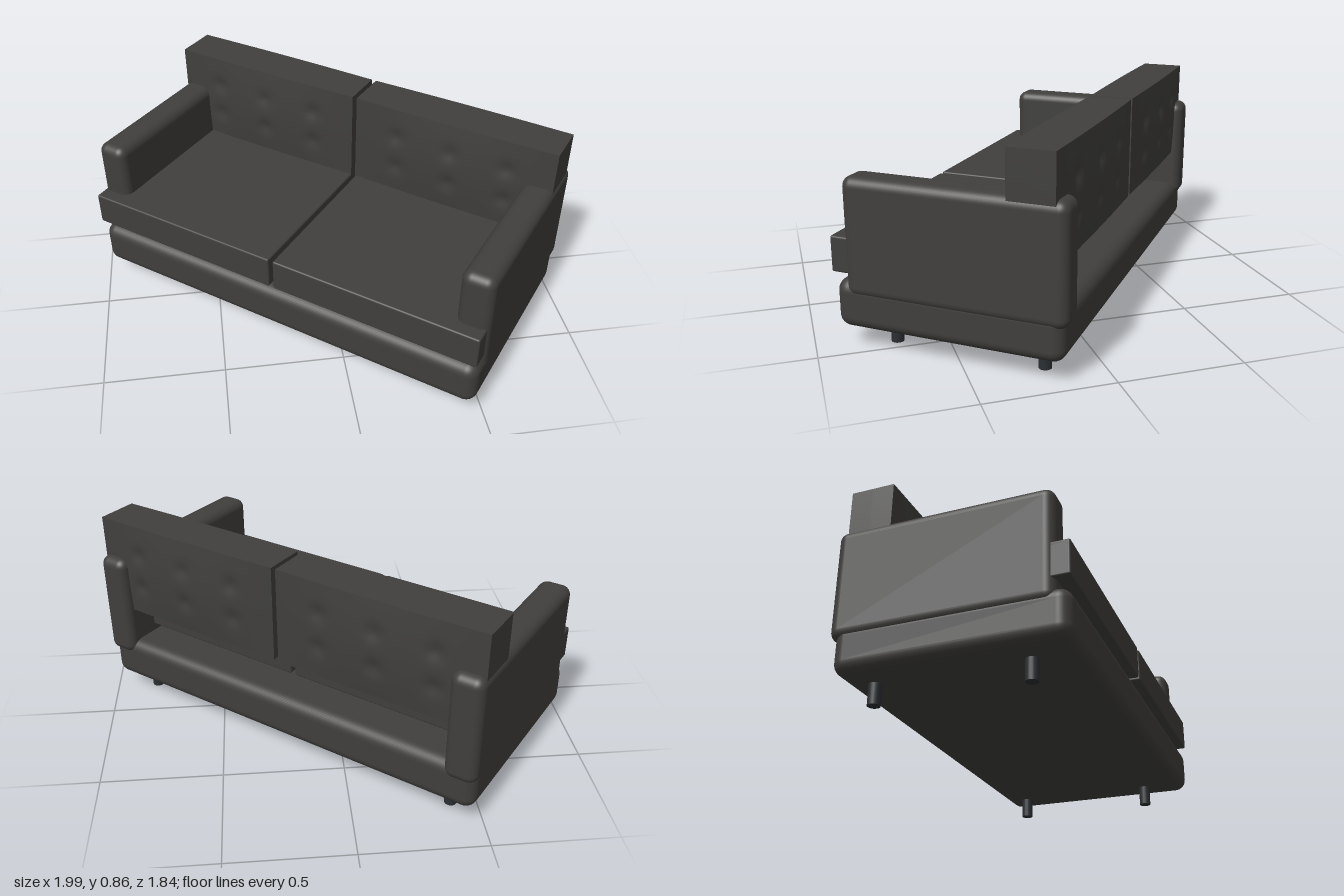
import * as THREE from 'three';
import { RoundedBoxGeometry } from 'three/addons/geometries/RoundedBoxGeometry.js';

const fabric = new THREE.MeshStandardMaterial({ color: 0x403f3d });
const legMaterial = new THREE.MeshStandardMaterial({ color: 0x2b2f33 });

// Rounded block given by its min and max corners
function block(name, [x0, y0, z0], [x1, y1, z1], radius) {
  const geo = new RoundedBoxGeometry(x1 - x0, y1 - y0, z1 - z0, 5, radius);
  const mesh = new THREE.Mesh(geo, fabric);
  mesh.name = name;
  mesh.position.set((x0 + x1) / 2, (y0 + y1) / 2, (z0 + z1) / 2);
  return mesh;
}

// Back cushion: a box whose front and back bulge softly, pinched by button tufts
function tuftedCushion(w, h, d) {
  const geo = new THREE.BoxGeometry(w, h, d, 54, 28, 2);
  const p = geo.attributes.position;
  for (let i = 0; i < p.count; i++) {
    const x = p.getX(i), y = p.getY(i), z = p.getZ(i);
    let puff = 0.02 * Math.cos((x / w) * Math.PI) * Math.cos((y / h) * Math.PI * 0.85);
    for (const tx of [-0.25, 0, 0.25]) {
      for (const ty of [-0.075, 0.075]) {
        const r2 = (x - tx) ** 2 + (y - ty) ** 2;
        puff -= 0.012 * Math.exp(-r2 / 0.0012);
      }
    }
    p.setZ(i, z + Math.sign(z) * puff);
  }
  geo.computeVertexNormals();
  return geo;
}

export function createModel() {
  const model = new THREE.Group();
  model.name = 'sofa';

  // The sofa is built square to its own axes, then turned
  const sofa = new THREE.Group();
  sofa.name = 'sofaBody';
  sofa.rotation.y = -0.667;
  model.add(sofa);

  sofa.add(block('base', [-0.91, 0.085, -0.453], [0.91, 0.28, 0.455], 0.05));

  const backGeo = tuftedCushion(0.9, 0.415, 0.18);
  const legGeo = new THREE.CylinderGeometry(0.025, 0.025, 0.1, 20);

  for (const side of [-1, 1]) {
    const label = side > 0 ? 'left' : 'right';
    const span = (a, b) => (side > 0 ? [a, b] : [-b, -a]);

    // Armrest, just proud of the base
    const [a0, a1] = span(0.782, 0.917);
    sofa.add(block(label + 'Arm', [a0, 0.22, -0.47], [a1, 0.685, 0.403], 0.04));

    // Seat cushion, floating slightly above the base
    const [s0, s1] = span(0.01, 0.908);
    sofa.add(block(label + 'Seat', [s0, 0.31, -0.313], [s1, 0.452, 0.46], 0.008));

    // Back cushion
    const back = new THREE.Mesh(backGeo, fabric);
    back.name = label + 'BackCushion';
    back.position.set(side * 0.46, 0.6475, -0.335);
    sofa.add(back);

    // Legs
    for (const [end, z] of [['Front', 0.272], ['Back', -0.338]]) {
      const leg = new THREE.Mesh(legGeo, legMaterial);
      leg.name = label + end + 'Leg';
      leg.position.set(side * 0.772, 0.05, z);
      sofa.add(leg);
    }
  }
  return model;
}
